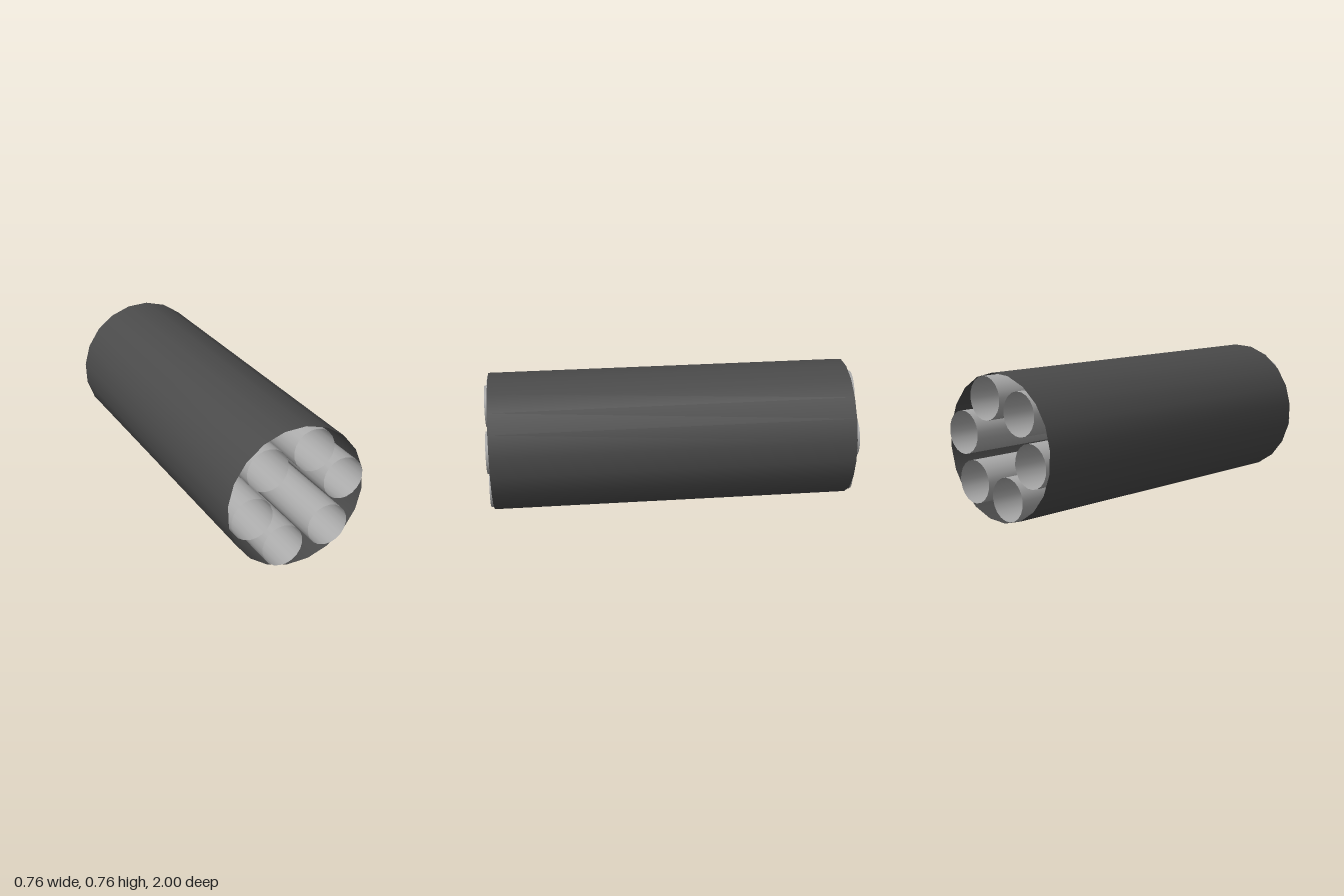
import * as THREE from 'three';

const SIDES = 20;
const TILT = THREE.MathUtils.degToRad(12); // roll of the whole bundle about its axis
const CENTRE_Y = 0.38;

// Thin open pipe lying along z, with a corner at the roll angle
function pipe(name, radius, length, material) {
  const geometry = new THREE.CylinderGeometry(
    radius, radius, length, SIDES, 1, true, TILT + Math.PI / 2, Math.PI * 2);
  geometry.rotateX(Math.PI / 2);
  const mesh = new THREE.Mesh(geometry, material);
  mesh.name = name;
  return mesh;
}

export function createModel() {
  const group = new THREE.Group();
  group.name = 'tubeBundle';

  const dark = new THREE.MeshStandardMaterial({ color: 0x4a4a4a, side: THREE.DoubleSide });
  const grey = new THREE.MeshStandardMaterial({ color: 0xaaaaaa, side: THREE.DoubleSide });

  // Outer casing, open at both ends
  const casing = pipe('outerCasing', 0.38, 1.97, dark);
  casing.position.y = CENTRE_Y;
  group.add(casing);

  // Ring of six inner tubes, protruding slightly at each end
  for (let i = 0; i < 6; i++) {
    const angle = TILT + (i * Math.PI) / 3;
    const tube = pipe(`innerTube${i + 1}`, 0.113, 2, grey);
    tube.position.set(0.26 * Math.cos(angle), CENTRE_Y + 0.26 * Math.sin(angle), 0);
    group.add(tube);
  }

  return group;
}
